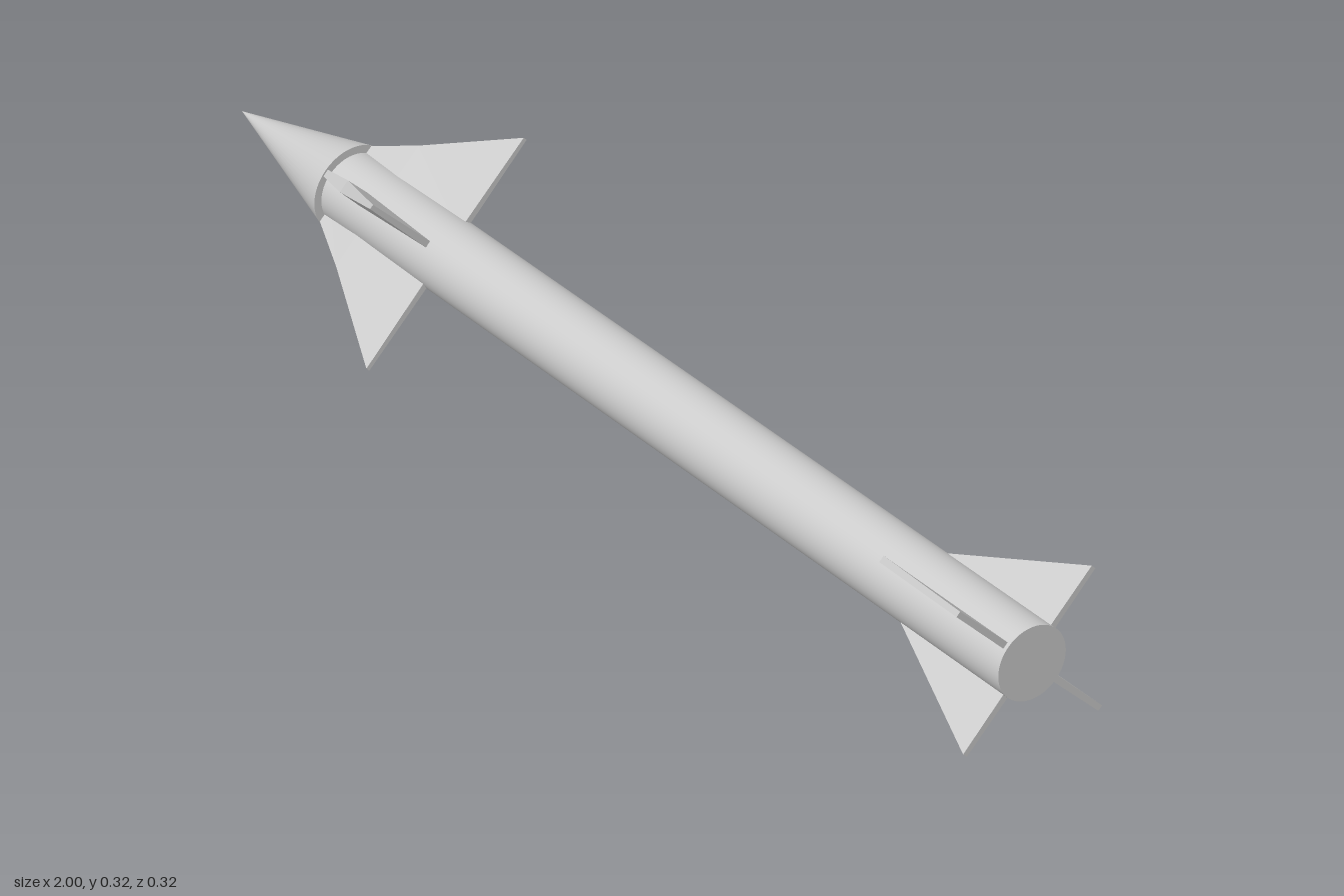
import * as THREE from 'three';

const material = new THREE.MeshStandardMaterial({ color: 0xcccccc });

// Solid fin lofted through stations [x, tip radius, root half thickness, tip half thickness]
function finGeometry(stations, root) {
  const rings = stations.map(([x, tip, h0, h1]) => [
    [x, root, -h0], [x, tip, -h1], [x, tip, h1], [x, root, h0],
  ]);
  const out = [];
  const quad = (a, b, c, d) => out.push(...a, ...b, ...c, ...a, ...c, ...d);
  for (let s = 0; s < rings.length - 1; s++) {
    const a = rings[s], b = rings[s + 1];
    for (let i = 0; i < 4; i++) {
      const j = (i + 1) % 4;
      quad(a[i], a[j], b[j], b[i]);
    }
  }
  const first = rings[0], last = rings[rings.length - 1];
  quad(first[3], first[2], first[1], first[0]);
  quad(...last);
  const geometry = new THREE.BufferGeometry();
  geometry.setAttribute('position', new THREE.Float32BufferAttribute(out, 3));
  geometry.computeVertexNormals();
  return geometry;
}

export function createModel() {
  const model = new THREE.Group();
  model.name = 'missile';
  const add = (name, geometry) => {
    const mesh = new THREE.Mesh(geometry, material);
    mesh.name = name;
    model.add(mesh);
    return mesh;
  };

  // Slightly widening tube, nose end at -x
  const body = new THREE.CylinderGeometry(0.06, 0.065, 1.72, 48);
  body.rotateZ(Math.PI / 2).translate(0.14, 0, 0);
  add('body', body);

  // Nose cone overhanging the tube
  const nose = new THREE.ConeGeometry(0.0735, 0.28, 48);
  nose.rotateZ(Math.PI / 2).translate(-0.86, 0, 0);
  add('noseCone', nose);

  // Four diagonal pairs: sideways shift of front fin, start and span of tail fin
  const fins = [
    { shift: 0.003, start: 0.676, span: 0.193 },
    { shift: -0.013, start: 0.73, span: 0.175 },
    { shift: 0.002, start: 0.676, span: 0.193 },
    { shift: 0.013, start: 0.73, span: 0.175 },
  ];
  fins.forEach(({ shift, start, span }, i) => {
    const angle = Math.PI / 4 + (i * Math.PI) / 2;

    // Front fin: swept, kinked leading edge, thickest at the kink
    const front = finGeometry([
      [-0.72, 0.07, 0.006, 0.006],
      [-0.635, 0.112, 0.012, 0.011],
      [-0.47, 0.214, 0.006, 0.004],
    ], 0.04);
    front.translate(0, 0, shift);
    add('frontFin' + (i + 1), front).rotation.x = angle;

    // Tail fin: plain triangle
    const tail = finGeometry([
      [start, 0.063, 0.006, 0.006],
      [0.993, span, 0.006, 0.005],
    ], 0.045);
    add('tailFin' + (i + 1), tail).rotation.x = angle;
  });

  model.position.set(0, 0.157, -0.004);
  const root = new THREE.Group();
  root.name = 'model';
  root.add(model);
  return root;
}
